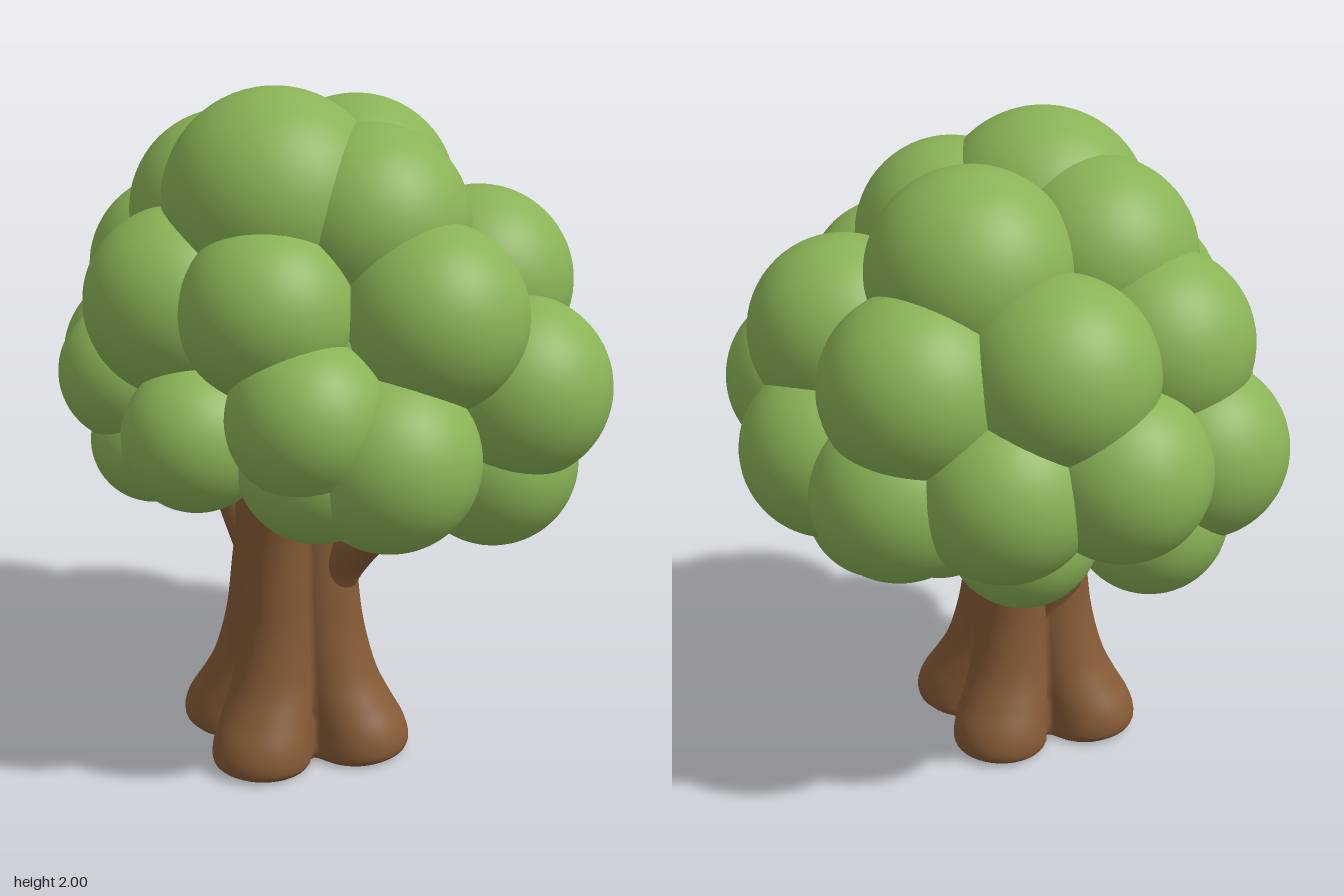
import * as THREE from 'three';
import { mergeVertices } from 'three/addons/utils/BufferGeometryUtils.js';

const leafGreen = new THREE.MeshStandardMaterial({ color: 0x8ab356 });
leafGreen.name = 'leafGreen';
const barkBrown = new THREE.MeshStandardMaterial({ color: 0x855a35 });
barkBrown.name = 'barkBrown';

const AXIS = { x: 0.015, z: 0.155 };
const ROOT_TURN = 0.27; // the root cross is turned a little about the trunk axis

// Outline of four overlapping circles of radius R, each d away from the axis
function lobedRadius(angle, d, R) {
  const quarter = Math.PI / 2;
  const a = angle - Math.round(angle / quarter) * quarter;
  return d * Math.cos(a) + Math.sqrt(Math.max(0.0012, R * R - (d * Math.sin(a)) ** 2));
}

// Trunk: four root lobes that merge into a fluted column
function makeTrunk() {
  const levels = [ // lobe distance, height, lobe radius
    [0.205, 0, 0.135], [0.216, 0.018, 0.147], [0.22, 0.05, 0.149], [0.21, 0.1, 0.144],
    [0.175, 0.17, 0.134], [0.14, 0.25, 0.124], [0.105, 0.4, 0.115],
    [0.09, 0.55, 0.11], [0.08, 0.7, 0.105], [0.08, 1.15, 0.105],
  ].map((p) => new THREE.Vector3(...p));
  const rings = new THREE.CatmullRomCurve3(levels).getPoints(45);
  rings.unshift(new THREE.Vector3(0, 0, 0.0005), new THREE.Vector3(0.2, 0, 0.13));

  const sides = 96;
  let geo = new THREE.LatheGeometry(rings.map((p) => new THREE.Vector2(1, p.y)), sides);
  const pos = geo.attributes.position;
  for (let i = 0; i < pos.count; i++) {
    const ring = rings[i % rings.length];
    const angle = (Math.floor(i / rings.length) % sides) / sides * Math.PI * 2;
    const r = ring.x === 0 ? 0 : lobedRadius(angle, ring.x, ring.z);
    const turned = angle + ROOT_TURN;
    pos.setXYZ(i, AXIS.x + r * Math.sin(turned), ring.y, AXIS.z + r * Math.cos(turned));
  }
  geo.deleteAttribute('uv');
  geo.deleteAttribute('normal');
  geo = mergeVertices(geo, 1e-5);
  geo.computeVertexNormals();
  const mesh = new THREE.Mesh(geo, barkBrown);
  mesh.name = 'trunk';
  return mesh;
}

// Branch: a bent limb that swells out of the trunk and tapers into the leaves
function makeBranch(name, points) {
  const curve = new THREE.CatmullRomCurve3(points.map((p) => new THREE.Vector3(...p)));
  const steps = 28, sides = 24;
  const geo = new THREE.TubeGeometry(curve, steps, 1, sides);
  const pos = geo.attributes.position;
  const v = new THREE.Vector3();
  for (let i = 0; i < pos.count; i++) {
    const t = Math.floor(i / (sides + 1)) / steps;
    const center = curve.getPointAt(t);
    v.fromBufferAttribute(pos, i).sub(center).multiplyScalar(0.1 - 0.047 * t).add(center);
    pos.setXYZ(i, v.x, v.y, v.z);
  }
  const mesh = new THREE.Mesh(geo, barkBrown);
  mesh.name = name;
  return mesh;
}

// Leaf clumps: x, y, z, radius
const clumps = {
  crown: [
    [0.005, 1.68, 0.215, 0.32], [-0.05, 1.63, -0.2, 0.3],
    [0.23, 1.62, 0.07, 0.287], [-0.23, 1.615, 0.155, 0.293],
  ],
  upper: [
    [-0.45, 1.41, 0.14, 0.28], [-0.365, 1.41, -0.22, 0.28], [-0.05, 1.37, -0.45, 0.275],
    [0.33, 1.41, -0.31, 0.28], [0.475, 1.4, 0.09, 0.267],
    [-0.175, 1.4, 0.42, 0.275], [0.15, 1.42, 0.405, 0.25],
  ],
  middle: [
    [-0.585, 1.11, 0.165, 0.263], [-0.53, 1.14, -0.15, 0.255], [-0.29, 1.1, -0.37, 0.262],
    [-0.01, 1.06, -0.485, 0.258], [0.28, 1.1, -0.45, 0.26], [0.58, 1.16, -0.18, 0.267],
    [0.47, 1.03, 0.265, 0.255], [0.325, 1.16, 0.44, 0.225],
    [-0.01, 1.06, 0.527, 0.213], [-0.37, 1.16, 0.44, 0.21],
  ],
  lower: [
    [-0.32, 0.95, 0.4, 0.187], [-0.5, 0.915, 0.05, 0.23], [-0.28, 0.93, -0.27, 0.22],
    [-0.02, 0.94, -0.32, 0.2], [0.2, 0.89, -0.33, 0.215], [0.495, 0.92, -0.18, 0.25],
    [0.3, 1.02, 0.37, 0.23],
  ],
};

export function createModel() {
  const tree = new THREE.Group();
  tree.name = 'tree';

  const wood = new THREE.Group();
  wood.name = 'wood';
  wood.add(
    makeTrunk(),
    makeBranch('leftBranch', [[0.085, 0.32, 0.13], [0.125, 0.54, 0.125], [0.22, 0.68, 0.1], [0.36, 0.81, 0.06], [0.45, 0.9, 0.03]]),
    makeBranch('rightBranch', [[-0.06, 0.32, 0.16], [-0.105, 0.54, 0.15], [-0.2, 0.68, 0.14], [-0.33, 0.81, 0.11], [-0.42, 0.9, 0.09]]),
  );
  tree.add(wood);

  const foliage = new THREE.Group();
  foliage.name = 'foliage';
  const ball = new THREE.SphereGeometry(1, 48, 32);
  for (const [layer, list] of Object.entries(clumps)) {
    const group = new THREE.Group();
    group.name = layer + 'Leaves';
    for (const [x, y, z, r] of list) {
      const clump = new THREE.Mesh(ball, leafGreen);
      clump.name = 'leafClump';
      clump.position.set(x, y, z);
      clump.scale.setScalar(r);
      group.add(clump);
    }
    foliage.add(group);
  }

  // Core that closes the gaps between the clumps
  const core = new THREE.Mesh(ball, leafGreen);
  core.name = 'leafCore';
  core.position.set(0, 1.24, 0.02);
  core.scale.set(0.55, 0.43, 0.5);
  foliage.add(core);
  tree.add(foliage);
  return tree;
}
